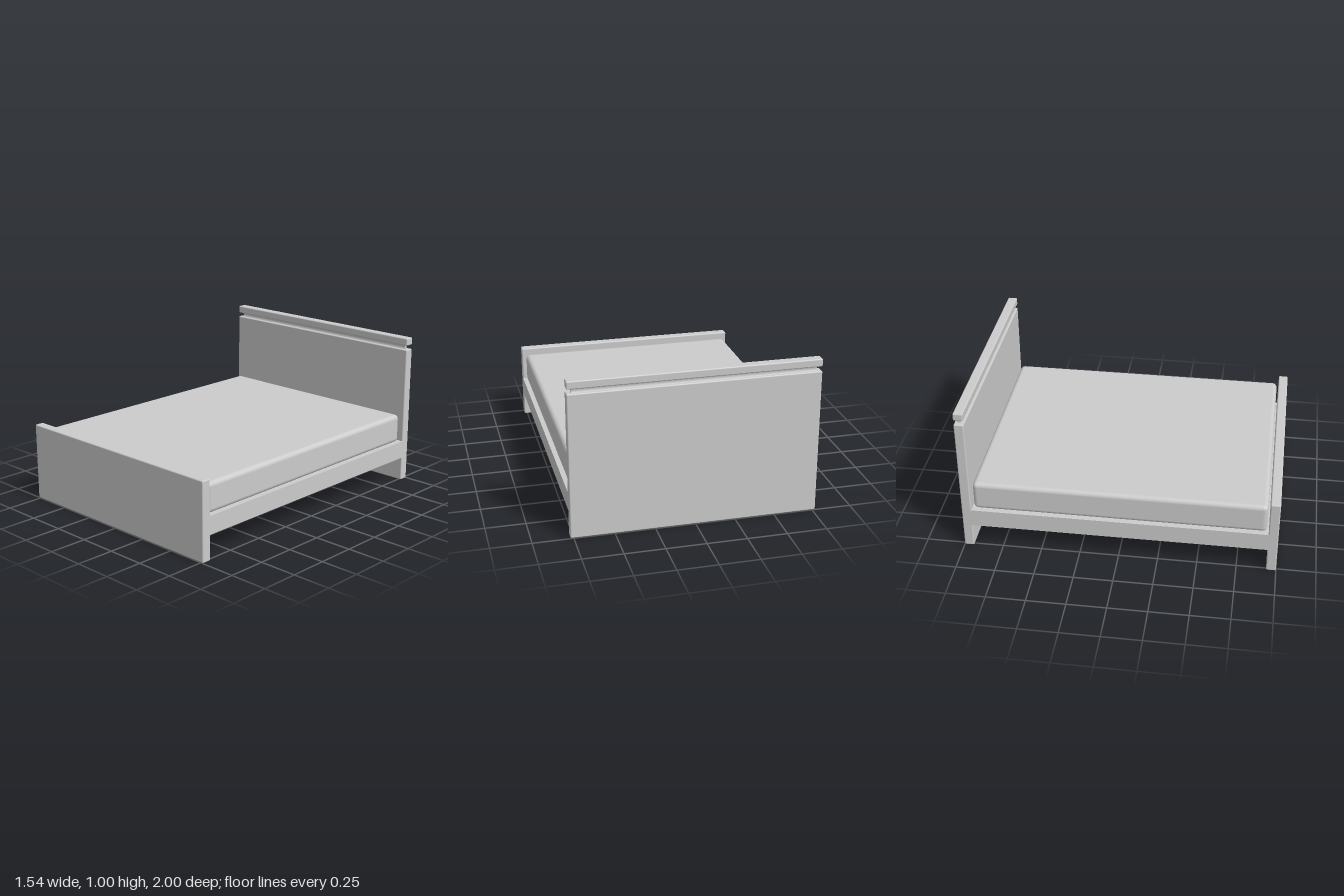
import * as THREE from 'three';
import { RoundedBoxGeometry } from 'three/addons/geometries/RoundedBoxGeometry.js';

const material = new THREE.MeshStandardMaterial({ color: 0xcccccc });

export function createModel() {
  const bed = new THREE.Group();
  bed.name = 'bed';

  const add = (name, geometry) => {
    const mesh = new THREE.Mesh(geometry, material);
    mesh.name = name;
    bed.add(mesh);
    return mesh;
  };

  // Softly rounded board given by width, y range and z range
  const board = (name, width, y0, y1, z0, z1, radius) =>
    add(name, new RoundedBoxGeometry(width, y1 - y0, z1 - z0, 3, radius))
      .position.set(0, (y0 + y1) / 2, (z0 + z1) / 2);

  // End panels and the rail along the top of the headboard
  board('headboard', 1.54, 0, 0.922, -1, -0.938, 0.008);
  board('headboardCap', 1.54, 0.95, 1, -1, -0.938, 0.008);
  board('footboard', 1.54, 0, 0.508, 0.938, 1, 0.008);

  // Solid platform between the end panels
  const base = add('bedBase', new THREE.BoxGeometry(1.54, 0.118, 1.9));
  base.position.y = 0.221;

  // Mattress with rounded edges
  board('mattress', 1.49, 0.276, 0.47, -0.927, 0.927, 0.03);

  // Waisted strip joining the cap to the headboard
  const profile = new THREE.Shape();
  profile.moveTo(-0.016, 0.918);
  profile.lineTo(0.016, 0.918);
  profile.quadraticCurveTo(0.002, 0.936, 0.016, 0.954);
  profile.lineTo(-0.016, 0.954);
  profile.quadraticCurveTo(-0.002, 0.936, -0.016, 0.918);
  const strip = add('capStrip', new THREE.ExtrudeGeometry(profile, {
    depth: 1.48, bevelEnabled: false, curveSegments: 8,
  }));
  strip.rotation.y = Math.PI / 2;
  strip.position.set(-0.74, 0, -0.969);

  return bed;
}
